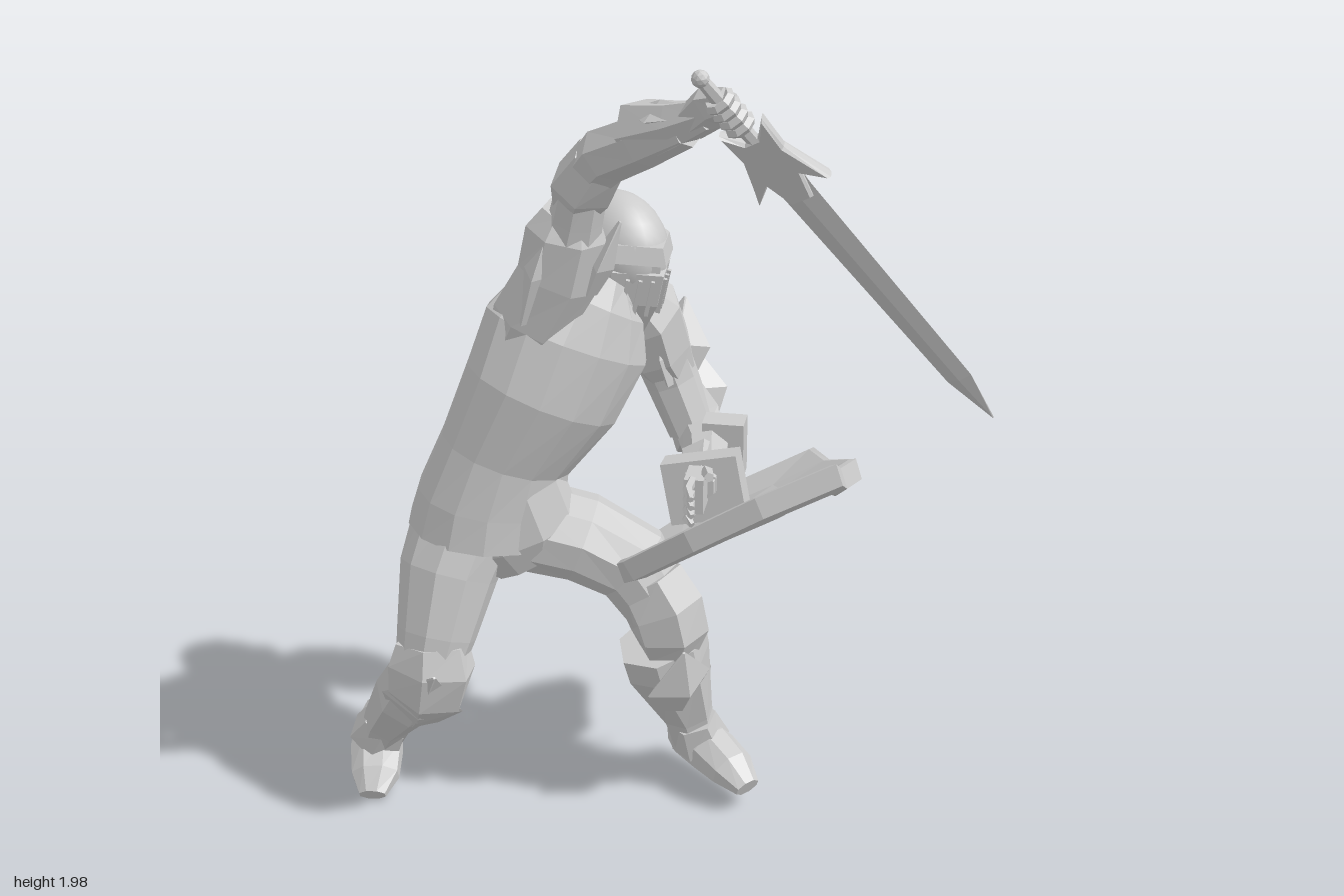
import * as THREE from 'three';

const V = (x, y, z) => new THREE.Vector3(x, y, z);
const flat = new THREE.MeshStandardMaterial({ color: 0xcccccc, flatShading: true });
const smooth = new THREE.MeshStandardMaterial({ color: 0xcccccc });

// Skin a list of equal-length rings (counter-clockwise about the travel direction), capped at both ends
function loft(name, rings) {
  const n = rings[0].length, last = rings.length - 1, pos = [], idx = [];
  rings.flat().forEach((p) => pos.push(p.x, p.y, p.z));
  for (const r of [rings[0], rings[last]]) {
    const c = r.reduce((s, p) => s.add(p), V(0, 0, 0)).divideScalar(n);
    pos.push(c.x, c.y, c.z);
  }
  const c0 = n * rings.length;
  for (let i = 0; i < n; i++) {
    const j = (i + 1) % n;
    for (let k = 0; k < last; k++) {
      const a = k * n + i, b = k * n + j;
      idx.push(a, b, b + n, a, b + n, a + n);
    }
    idx.push(c0, j, i, c0 + 1, last * n + i, last * n + j);
  }
  const g = new THREE.BufferGeometry();
  g.setAttribute('position', new THREE.Float32BufferAttribute(pos, 3));
  g.setIndex(idx);
  g.computeVertexNormals();
  const m = new THREE.Mesh(g, flat);
  m.name = name;
  return m;
}

// Elliptical tube through stations [x, y, z, radius along hint, radius across]; phase 0 puts corners on the axes
function limb(name, st, hint, sides = 8, phase = 0.5) {
  const c = st.map((s) => V(s[0], s[1], s[2]));
  return loft(name, st.map((s, k) => {
    const T = c[Math.min(k + 1, c.length - 1)].clone().sub(c[Math.max(k - 1, 0)]).normalize();
    const A = hint.clone().addScaledVector(T, -hint.dot(T)).normalize();
    const B = T.clone().cross(A);
    return Array.from({ length: sides }, (_, i) => {
      const t = ((i + phase) / sides) * Math.PI * 2;
      return c[k].clone().addScaledVector(A, Math.cos(t) * s[3]).addScaledVector(B, Math.sin(t) * s[4]);
    });
  }));
}

// Position an object with its local y along up and local z near front
function place(o, name, pos, up, front) {
  const y = up.clone().normalize(), x = y.clone().cross(front).normalize();
  o.quaternion.setFromRotationMatrix(new THREE.Matrix4().makeBasis(x, y, x.clone().cross(y)));
  o.position.copy(pos);
  o.name = name;
  return o;
}

const box = (name, size, pos, up = V(0, 1, 0), front = V(0, 0, 1)) =>
  place(new THREE.Mesh(new THREE.BoxGeometry(...size), flat), name, pos, up, front);

// Pointed armour plate, ridged down the middle
const spike = (name, base, tip, width, depth, side) => {
  const m = base.clone().lerp(tip, 0.4);
  return limb(name, [[...base, width * 0.6, depth * 0.6], [...m, width, depth], [...tip, 0.004, 0.004]], side, 4, 0);
};

function makeHead() {
  const head = new THREE.Group();
  const dome = new THREE.Mesh(new THREE.SphereGeometry(1, 24, 16), smooth);
  dome.scale.set(0.106, 0.138, 0.145);
  dome.name = 'helmetDome';
  // visor with a recessed eye slit
  const outline = [[0.115, -0.02], [0, -0.09], [-0.115, -0.02], [-0.092, 0.09], [0, 0.168], [0.092, 0.09]];
  const levels = [[-0.165, 0.72], [-0.09, 0.93], [-0.01, 1], [-0.008, 0.92], [0.012, 0.92], [0.014, 1.03], [0.055, 0.93]];
  head.add(dome, loft('visor', levels.map(([y, s]) => outline.map(([x, z]) => V(x * s, y, z * s)))));
  for (const side of [-1, 1]) {
    for (const f of [0.2, 0.45, 0.7]) {
      head.add(box('visorBar', [0.009, 0.09, 0.012], V(side * 0.09 * f, -0.068, 0.162 - 0.073 * f),
        V(0, 1, 0.15), V(side * 0.64, 0, 0.77)));
    }
    head.add(box('visorHinge', [0.02, 0.05, 0.05], V(side * 0.11, 0, -0.01)));
  }
  return place(head, 'helmet', V(-0.115, 1.4, -0.19), V(0.1, 1, 0.02), V(0.78, -0.12, 0.62));
}

function makeShield() {
  const O = V(0.4, 0.905, -0.15), u = V(0.185, 0.35, 0.92).normalize();
  const v = V(0.887, 0.413, -0.206), n = u.clone().cross(v).normalize();
  const outline = [[0.27, 0], [0.13, 0.015], [0, 0.065], [-0.13, 0.015], [-0.27, 0], [-0.265, -0.18],
    [-0.2, -0.36], [-0.11, -0.5], [0, -0.61], [0.14, -0.54], [0.235, -0.38], [0.28, -0.2]];
  // bowed across its width
  const ring = (s, h) => outline.map(([a, b]) => {
    const x = a * s, y = (b + 0.27) * s - 0.27;
    return O.clone().addScaledVector(u, x).addScaledVector(v, y)
      .addScaledVector(n, h - 0.04 * (1 - (x / 0.28) ** 2));
  });
  return loft('shield', [ring(0.4, -0.025), ring(0.85, -0.012), ring(0.87, -0.03), ring(0.98, -0.025),
    ring(1, 0.025), ring(0.95, 0.03), ring(0.5, 0.022)]);
}

function makeSword() {
  const g = new THREE.Group(), X = V(1, 0, 0);
  // blade runs along local +y, its width along x
  g.add(limb('blade', [[0, 0.27, 0, 0.042, 0.011], [0, 0.36, 0, 0.038, 0.01], [0, 1.02, 0, 0.03, 0.008],
    [0, 1.17, 0, 0.002, 0.002]], X, 4, 0));
  const right = [[0.018, 0.2], [0.05, 0.16], [0.045, 0.24], [0.085, 0.35], [0.04, 0.31], [0.022, 0.38]];
  const shape = new THREE.Shape([...right, ...right.map(([x, y]) => [-x, y]).reverse()].map((p) => new THREE.Vector2(...p)));
  const guard = new THREE.Mesh(new THREE.ExtrudeGeometry(shape,
    { depth: 0.014, bevelEnabled: true, bevelSize: 0.005, bevelThickness: 0.008, bevelSegments: 1 }).translate(0, 0, -0.007), flat);
  guard.name = 'guard';
  const pommel = new THREE.Mesh(new THREE.IcosahedronGeometry(0.019, 1), flat);
  pommel.position.y = 0.012;
  pommel.name = 'pommel';
  g.add(guard, pommel,
    limb('grip', [[0, 0, 0, 0.013, 0.013], [0, 0.1, 0, 0.017, 0.017], [0, 0.24, 0, 0.014, 0.014]], X, 6));
  // gauntlet fingers wrapped round the grip
  for (let i = 0; i < 4; i++) {
    const f = new THREE.Mesh(new THREE.TorusGeometry(0.024, 0.012, 5, 8).rotateX(Math.PI / 2), flat);
    f.position.y = 0.08 + i * 0.024;
    f.name = 'swordFinger';
    g.add(f);
  }
  const d = V(0.62, -0.89, -0.44).normalize(), w = V(0.85, 0.48, 0.24);
  return place(g, 'sword', V(0.16, 1.985, 0.385), d, w.clone().cross(d));
}

export function createModel() {
  const g = new THREE.Group();
  g.name = 'knight';
  const X = V(1, 0, 0), Y = V(0, 1, 0), Z = V(0, 0, 1), L = V(0.75, -0.1, -0.65);

  // body
  g.add(
    limb('tunic', [[-0.395, 0.76, -0.01, 0.2, 0.16], [-0.38, 0.84, -0.005, 0.19, 0.145], [-0.345, 0.95, -0.005, 0.175, 0.13],
      [-0.26, 1.1, -0.025, 0.21, 0.15], [-0.205, 1.23, -0.06, 0.222, 0.148], [-0.17, 1.32, -0.085, 0.17, 0.12],
      [-0.14, 1.37, -0.11, 0.08, 0.08]], L, 14),
    limb('collar', [[-0.18, 1.24, -0.09, 0.12, 0.12], [-0.14, 1.31, -0.14, 0.105, 0.105], [-0.12, 1.36, -0.17, 0.08, 0.08]], L, 10),
    limb('pelvis', [[-0.3, 0.67, 0, 0.09, 0.09], [-0.33, 0.73, 0, 0.17, 0.12], [-0.37, 0.84, 0, 0.17, 0.12]], X, 10),
    makeHead(), makeSword(), makeShield());

  // raised sword arm
  const arm = V(0.3, -0.1, -0.9);
  g.add(
    limb('rightPauldron', [[-0.33, 1.18, 0.03, 0.07, 0.05], [-0.27, 1.3, 0.035, 0.09, 0.095], [-0.205, 1.41, 0.04, 0.095, 0.095],
      [-0.18, 1.52, 0.045, 0.095, 0.095], [-0.17, 1.57, 0.05, 0.065, 0.065]], arm, 7),
    spike('rightPauldronPoint', V(-0.27, 1.32, 0.09), V(-0.19, 1.61, 0.08), 0.08, 0.035, Z),
    spike('rightPauldronPoint', V(-0.13, 1.38, 0.05), V(-0.06, 1.55, 0.05), 0.06, 0.03, Z),
    limb('rightUpperArm', [[-0.18, 1.46, 0.05, 0.075, 0.07], [-0.155, 1.56, 0.07, 0.065, 0.06], [-0.13, 1.67, 0.09, 0.06, 0.055]], arm),
    limb('rightElbowGuard', [[-0.155, 1.59, 0.06, 0.06, 0.055], [-0.135, 1.64, 0.08, 0.085, 0.075], [-0.09, 1.71, 0.11, 0.065, 0.065]], arm, 6),
    limb('rightForearm', [[-0.13, 1.66, 0.085, 0.055, 0.055], [-0.07, 1.73, 0.13, 0.065, 0.07], [0.02, 1.785, 0.195, 0.06, 0.06],
      [0.12, 1.84, 0.26, 0.045, 0.045]], Y, 7),
    limb('rightGauntletCuff', [[0.17, 1.88, 0.3, 0.035, 0.035], [0.1, 1.84, 0.25, 0.052, 0.052], [0.01, 1.795, 0.175, 0.076, 0.074]], Y, 6),
    spike('rightCuffPoint', V(0.13, 1.87, 0.27), V(-0.03, 1.83, 0.15), 0.06, 0.03, Z),
    limb('rightHand', [[0.13, 1.85, 0.27, 0.04, 0.035], [0.18, 1.9, 0.315, 0.05, 0.035], [0.225, 1.92, 0.35, 0.04, 0.025]], V(0.5, -0.8, -0.4), 6));

  // shield arm
  g.add(
    limb('leftPauldron', [[-0.1, 1.29, -0.2, 0.06, 0.06], [-0.055, 1.22, -0.25, 0.105, 0.09], [-0.025, 1.12, -0.28, 0.105, 0.08],
      [0, 1.06, -0.29, 0.075, 0.065]], Z, 7),
    spike('leftPauldronPoint', V(0.01, 1.04, -0.31), V(0.02, 1.22, -0.37), 0.075, 0.045, X),
    spike('leftPauldronPoint', V(0.01, 1.05, -0.24), V(-0.03, 1.23, -0.26), 0.08, 0.035, Z),
    limb('leftUpperArm', [[-0.04, 1.16, -0.27, 0.075, 0.07], [0.005, 1.04, -0.28, 0.07, 0.065], [0.055, 0.92, -0.27, 0.065, 0.058]], Z),
    limb('leftElbowGuard', [[0.02, 1.01, -0.3, 0.06, 0.055], [0.05, 0.94, -0.31, 0.08, 0.068], [0.075, 0.88, -0.26, 0.06, 0.06]], Z, 6),
    spike('leftElbowPoint', V(0.07, 0.93, -0.32), V(0.045, 1.08, -0.385), 0.07, 0.04, X),
    limb('leftForearm', [[0.07, 0.91, -0.27, 0.055, 0.055], [0.105, 0.91, -0.17, 0.058, 0.055], [0.125, 0.915, -0.04, 0.05, 0.05],
      [0.125, 0.92, 0.06, 0.035, 0.035]], X, 7),
    limb('leftGauntletCuff', [[0.11, 0.915, -0.1, 0.06, 0.055], [0.125, 0.92, 0.05, 0.04, 0.04]], X, 6),
    box('shieldStrap', [0.1, 0.14, 0.07], V(0.145, 0.91, -0.2)),
    box('shieldStrap', [0.18, 0.15, 0.07], V(0.13, 0.895, 0), V(-0.2, 0.96, -0.1)),
    box('leftPalm', [0.045, 0.085, 0.08], V(0.12, 0.925, 0.085)),
    limb('leftThumb', [[0.14, 0.96, 0.06, 0.016, 0.016], [0.155, 0.975, 0.12, 0.012, 0.012]], X, 5));
  for (let i = 0; i < 4; i++) {
    const y = 0.96 - i * 0.025;
    g.add(limb('leftFinger', [[0.115, y, 0.11, 0.012, 0.012], [0.112, y, 0.16, 0.012, 0.011],
      [0.125, y - 0.008, 0.195 - i * 0.008, 0.008, 0.008]], X, 5));
  }

  // right leg, stepping back
  g.add(
    limb('rightThigh', [[-0.43, 0.81, 0.01, 0.13, 0.125], [-0.475, 0.66, 0.075, 0.118, 0.125], [-0.495, 0.52, 0.135, 0.095, 0.1],
      [-0.51, 0.44, 0.165, 0.08, 0.08]], X, 10),
    limb('rightKneeGuard', [[-0.5, 0.51, 0.16, 0.09, 0.08], [-0.5, 0.45, 0.17, 0.11, 0.09], [-0.515, 0.38, 0.165, 0.1, 0.085],
      [-0.535, 0.33, 0.14, 0.07, 0.065]], X, 6),
    spike('rightGreavePoint', V(-0.56, 0.28, 0.13), V(-0.47, 0.47, 0.26), 0.1, 0.05, X),
    limb('rightGreave', [[-0.53, 0.41, 0.14, 0.085, 0.085], [-0.58, 0.33, 0.1, 0.085, 0.095], [-0.66, 0.2, 0.015, 0.062, 0.068],
      [-0.695, 0.12, -0.03, 0.055, 0.058]], X, 7),
    limb('rightFoot', [[-0.73, 0.13, -0.16, 0.04, 0.035], [-0.72, 0.1, -0.09, 0.062, 0.065], [-0.705, 0.085, -0.01, 0.068, 0.062],
      [-0.69, 0.055, 0.06, 0.062, 0.045], [-0.685, 0.028, 0.11, 0.035, 0.02]], X, 8),
    limb('rightAnklePlate', [[-0.67, 0.18, 0, 0.06, 0.065], [-0.705, 0.12, -0.02, 0.075, 0.075]], X, 6));

  // left leg, bent forward
  const out = V(0.7, 0, -0.7);
  g.add(
    limb('leftThigh', [[-0.3, 0.75, -0.02, 0.12, 0.11], [-0.17, 0.72, -0.035, 0.12, 0.105], [-0.05, 0.655, -0.045, 0.11, 0.1],
      [0.03, 0.54, -0.03, 0.09, 0.085]], Z, 10),
    limb('leftKneeGuard', [[-0.01, 0.63, -0.02, 0.085, 0.09], [0.03, 0.56, -0.01, 0.09, 0.1], [0.045, 0.5, -0.01, 0.09, 0.095],
      [0.04, 0.44, -0.02, 0.065, 0.07]], Z, 6),
    spike('leftGreavePoint', V(0.06, 0.3, -0.01), V(0.09, 0.48, 0.06), 0.09, 0.05, out),
    spike('leftCalfPoint', V(0.05, 0.22, -0.13), V(0.02, 0.48, -0.16), 0.09, 0.04, X),
    limb('leftGreave', [[0.02, 0.46, -0.035, 0.115, 0.1], [0.03, 0.4, -0.05, 0.112, 0.1], [0.07, 0.22, -0.115, 0.065, 0.07],
      [0.085, 0.12, -0.14, 0.055, 0.06]], out, 7),
    limb('leftFoot', [[0.045, 0.11, -0.2, 0.045, 0.04], [0.08, 0.115, -0.16, 0.06, 0.065], [0.14, 0.115, -0.1, 0.065, 0.065],
      [0.195, 0.1, -0.05, 0.06, 0.05], [0.24, 0.075, -0.01, 0.035, 0.024]], out, 8),
    limb('leftAnklePlate', [[0.085, 0.2, -0.11, 0.06, 0.065], [0.105, 0.125, -0.13, 0.075, 0.075]], out, 6));
  return g;
}
